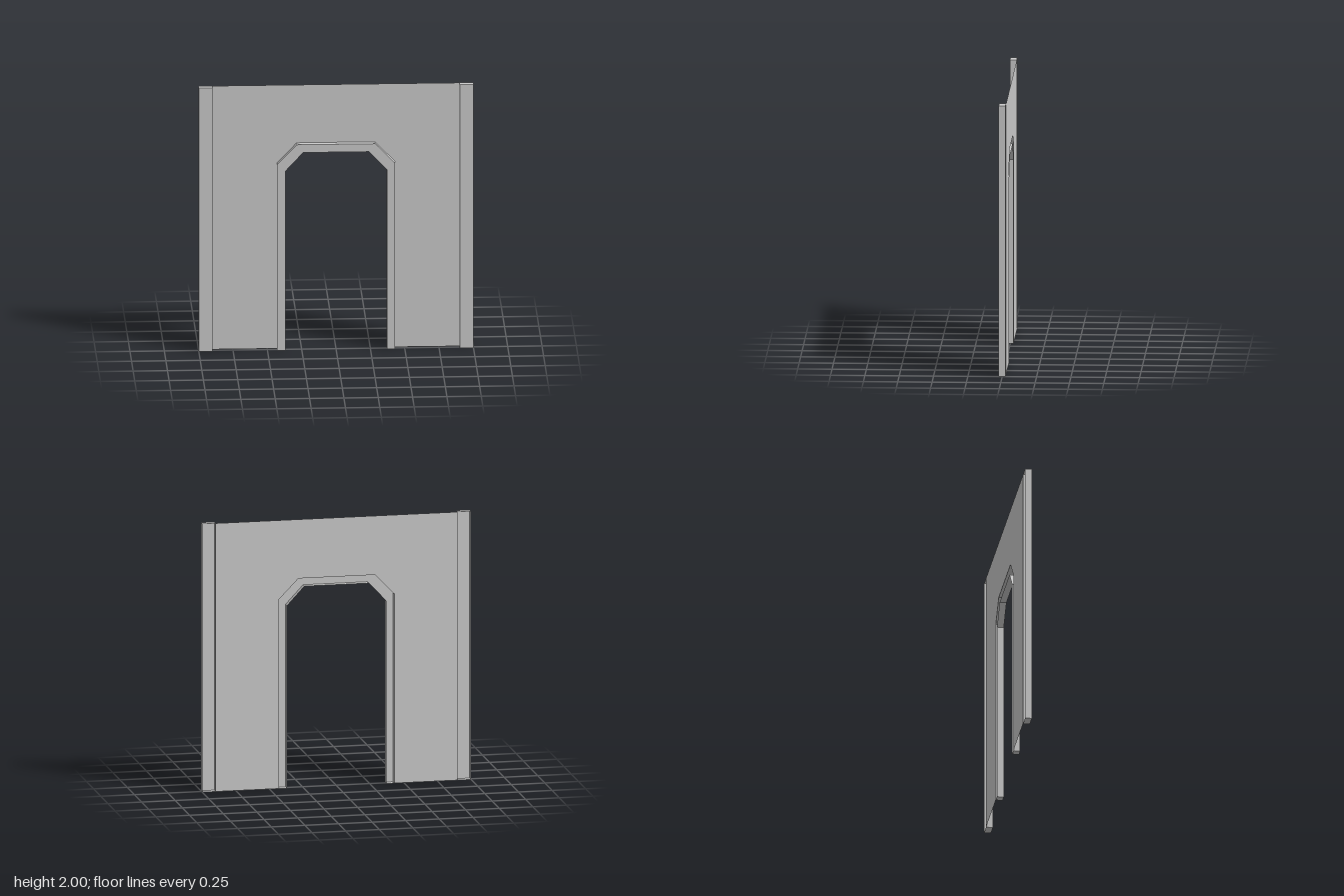
import * as THREE from 'three';

const FRONT = 0.026, BACK = -0.024;
const material = new THREE.MeshStandardMaterial({ color: 0xcccccc, flatShading: true, side: THREE.DoubleSide });

// Half outlines of the doorway (x, y), from the floor to the lintel
const OUTER = [[0.43, 0], [0.43, 1.41], [0.285, 1.56]];
const INNER = [[0.37, 0], [0.37, 1.36], [0.24, 1.5]];

// Full doorway outline, left foot over the lintel to right foot
const mirrored = (half) => [...half, ...half.slice().reverse().map(([x, y]) => [-x, y])];

// Flat-sided mesh from four-cornered faces
function quadMesh(name, quads) {
  const positions = [];
  for (const [a, b, c, d] of quads) positions.push(...a, ...b, ...c, ...a, ...c, ...d);
  const geometry = new THREE.BufferGeometry();
  geometry.setAttribute('position', new THREE.Float32BufferAttribute(positions, 3));
  geometry.computeVertexNormals();
  const mesh = new THREE.Mesh(geometry, material);
  mesh.name = name;
  return mesh;
}

// Hollow trim, open at the back, swept between an outer and an inner outline
function channel(name, outer, inner) {
  const sections = outer.map(([x, y], i) => {
    const [u, v] = inner[i];
    return [[x, y, BACK], [x, y, FRONT], [u, v, FRONT], [u, v, BACK]];
  });
  const quads = [];
  for (let i = 0; i < sections.length - 1; i++) {
    const a = sections[i], b = sections[i + 1];
    for (let k = 0; k < 3; k++) quads.push([a[k], b[k], b[k + 1], a[k + 1]]);
  }
  // End caps
  quads.push(sections[0], sections[sections.length - 1].slice().reverse());
  return quadMesh(name, quads);
}

export function createModel() {
  const group = new THREE.Group();
  group.name = 'doorwayWall';

  // Thin wall sheet with the doorway cut out
  const outline = [[-0.9, 0], [-0.9, 2], [0.9, 2], [0.9, 0], ...mirrored(OUTER)];
  const shape = new THREE.Shape(outline.map(([x, y]) => new THREE.Vector2(x, y)));
  const wall = new THREE.Mesh(new THREE.ShapeGeometry(shape), material);
  wall.position.z = BACK;
  wall.name = 'wallPanel';
  group.add(wall);

  // Door surround
  group.add(channel('doorFrame', mirrored(OUTER), mirrored(INNER)));

  // Edge posts
  group.add(channel('leftPost', [[1, 0], [1, 2]], [[0.9, 0], [0.9, 2]]));
  group.add(channel('rightPost', [[-0.9, 0], [-0.9, 2]], [[-1, 0], [-1, 2]]));

  return group;
}
